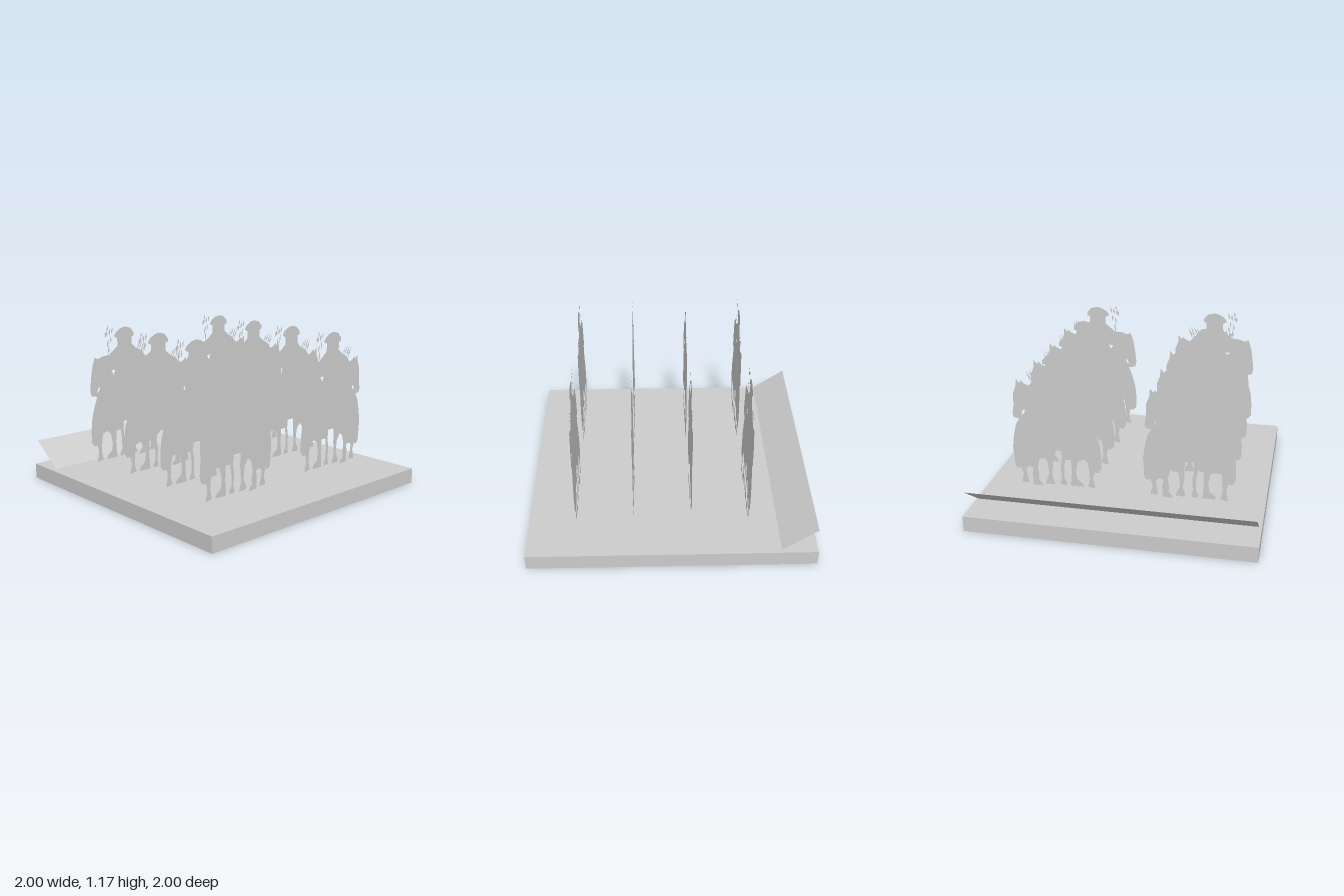
import * as THREE from 'three';
import { mergeGeometries } from 'three/addons/utils/BufferGeometryUtils.js';

// Outlines are in hundredths of a unit, x measured from the figure's centre line.
const UNIT = 0.01;

// Rider and horse: clockwise over the cap, from left hip to right hip
const UPPER = [
  [-32, 33], [-32, 42], [-31, 51], [-28.5, 60], [-26, 66.5], [-31, 67.5], [-32, 72], [-31, 80],
  [-30, 86.5], [-28.5, 92], [-27, 95.5], [-24.5, 94], [-20.5, 95.5], [-14.5, 96], [-10.5, 99],
  [-7, 102], [-7, 107.5], [-10, 109], [-8, 112], [-4, 114.5], [0, 115.3], [5, 114], [8, 110.5],
  [8, 108], [6, 107.5], [6, 102], [10, 98.5], [15, 96], [18.5, 91.5], [22, 93], [24, 95],
  [25, 93], [27.5, 96], [28, 90], [30, 85], [30, 77], [31, 70], [30.5, 67.5], [26.5, 66.5],
  [29, 62], [31, 53], [32, 45], [31, 30],
];

// Hem and legs, from the right side back to the left
const LEGS = [
  [28.5, 28], [27, 29.5], [25, 24.5], [26.5, 18.5], [26, 17.5], [21, 17.5], [22, 22], [23, 28],
  [21, 30.5], [17.5, 29.5], [18.5, 24.5], [18, 20], [18.5, 16.5], [11, 16], [11.5, 18],
  [14, 20.5], [13.5, 24.5], [14.5, 30.5], [13, 37], [10, 39.5], [7, 35], [6, 26], [8.5, 20],
  [8.5, 18], [2, 18], [2.5, 20.5], [4, 24.5], [3, 34], [3, 44.5], [-3, 44.5], [-3.5, 38],
  [-2.5, 31.5], [-3, 23.5], [-2, 18.5], [-6.5, 18], [-7, 20], [-5, 23.5], [-5, 31.5],
  [-6, 38.5], [-10, 38.5], [-10.5, 29], [-10, 23.5], [-9.5, 18], [-19, 18], [-18.5, 20.5],
  [-14.5, 23.5], [-13.5, 29], [-15, 37], [-18.5, 39.5], [-22, 38], [-23, 31.5], [-23.5, 24.5],
  [-22, 18.5], [-27.5, 17.5], [-27, 20], [-26, 25], [-27, 30], [-30, 30],
];

// Small gaps inside the arms
const GAPS = [
  [[-26, 69.5], [-24, 70.5], [-23.5, 73.5], [-25, 72.5]],
  [[22, 74.5], [22.5, 71], [24.5, 69.5], [24, 72]],
  [[-13, 84.5], [-9.5, 84.5], [-11, 80.5]],
];

// Slivers: x0, y0, x1, y1, width
const PLUME = [
  [-15, 95, -14.5, 104, 1.2], [-16, 102, -14.6, 108, 1.4], [-13, 104, -12.5, 110, 1.2],
  [-17.5, 109, -16, 113.5, 2.6], [-14, 110, -13.5, 115, 1.6], [-12, 111, -11, 116, 1.3],
  [-16, 113, -15, 117.5, 1.3],
];
const TWIGS = [
  [10, 97, 14, 103, 0.9], [12, 96, 16, 104, 1], [14.5, 95, 18, 104, 1],
  [16, 93.5, 20, 103, 1], [15, 97, 20, 99, 0.8],
];

const vec = ([x, y]) => new THREE.Vector2(x * UNIT, y * UNIT);

function silhouette(outline, holes = []) {
  const shape = new THREE.Shape(outline.map(vec));
  shape.holes = holes.map((h) => new THREE.Path(h.map(vec)));
  return new THREE.ShapeGeometry(shape);
}

// Pointed flat blade, widest at its middle
function sliver([x0, y0, x1, y1, w]) {
  const len = Math.hypot(x1 - x0, y1 - y0);
  const nx = (-(y1 - y0) / len) * w / 2, ny = ((x1 - x0) / len) * w / 2;
  const mx = (x0 + x1) / 2, my = (y0 + y1) / 2;
  return silhouette([[x0, y0], [mx - nx, my - ny], [x1, y1], [mx + nx, my + ny]]);
}

export function createModel() {
  const model = new THREE.Group();
  model.name = 'cavalryStand';
  const grey = new THREE.MeshStandardMaterial({ color: 0xcccccc, side: THREE.DoubleSide });
  grey.name = 'grey';

  const add = (parent, name, geometry) => {
    const mesh = new THREE.Mesh(geometry, grey);
    mesh.name = name;
    parent.add(mesh);
    return mesh;
  };

  // Square base slab
  add(model, 'base', new THREE.BoxGeometry(2, 0.11, 2)).position.y = 0.055;

  // Sloping label plate along the back edge
  const rise = 0.17, run = 0.24;
  const plate = add(model, 'labelPlate', new THREE.PlaneGeometry(1.96, Math.hypot(rise, run)));
  plate.rotation.x = Math.PI - Math.atan2(run, rise);
  plate.position.set(0, 0.12 + rise / 2, -0.99 + run / 2);

  // Two files of four flat mounted figures
  const bodyGeometry = silhouette([...UPPER, ...LEGS], GAPS);
  const plumeGeometry = mergeGeometries(PLUME.map(sliver));
  const twigGeometry = mergeGeometries(TWIGS.map(sliver));
  for (const x of [-0.475, 0.46]) {
    for (let row = 0; row < 4; row++) {
      const figure = new THREE.Group();
      figure.name = 'mountedFigure';
      add(figure, 'riderAndHorse', bodyGeometry);
      add(figure, 'plume', plumeGeometry);
      add(figure, 'twigs', twigGeometry);
      figure.position.set(x, 0, -0.54 + row * 0.4);
      model.add(figure);
    }
  }
  return model;
}
